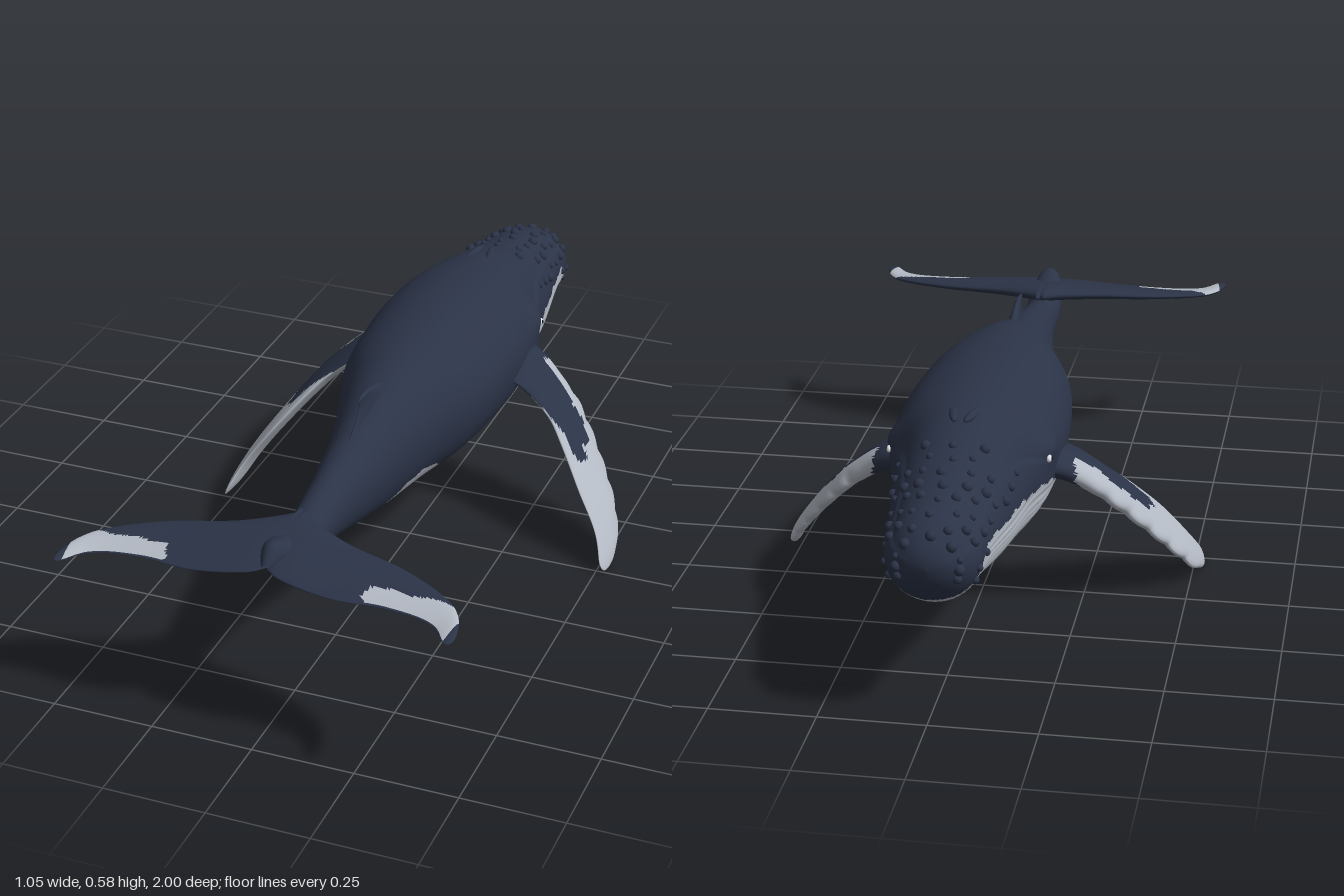
import * as THREE from 'three';

const mat = (name, color) => Object.assign(new THREE.MeshStandardMaterial({ color }), { name });
const { sin, cos, PI, abs, sqrt, exp, min, max } = Math;
const V = (x, y, z) => new THREE.Vector3(x, y, z);
const smooth = THREE.MathUtils.smoothstep;

// Smooth interpolation of rows whose first number is the key
function spline(rows) {
  const n = rows.length;
  const slope = (i, c) => {
    const a = rows[max(i - 1, 0)], b = rows[min(i + 1, n - 1)];
    return (b[c] - a[c]) / (b[0] - a[0]);
  };
  return (k) => {
    let i = 0;
    while (i < n - 2 && k > rows[i + 1][0]) i++;
    const p = rows[i], q = rows[i + 1], h = q[0] - p[0];
    const t = min(max((k - p[0]) / h, 0), 1), t2 = t * t, t3 = t2 * t;
    return p.slice(1).map((v, j) => {
      const c = j + 1;
      return (2 * t3 - 3 * t2 + 1) * v + (t3 - 2 * t2 + t) * h * slope(i, c)
        + (3 * t2 - 2 * t3) * q[c] + (t3 - t2) * h * slope(i + 1, c);
    });
  };
}

// Closed skin over a grid of loops; paint() picks material 0 or 1 for each face
function skin(rows, cols, point, paint) {
  const pts = [], faces = [[], []];
  for (let r = 0; r <= rows; r++)
    for (let c = 0; c < cols; c++) pts.push(point(r / rows, (c / cols) * 2 * PI));
  let volume = 0;
  const tri = (a, b, c, u, ang) => {
    const [A, B, C] = [pts[a], pts[b], pts[c]];
    volume += A.dot(V().crossVectors(B, C));
    const mid = V().add(A).add(B).add(C).divideScalar(3);
    faces[paint(mid, u, ang) ? 1 : 0].push([a, b, c]);
  };
  for (let r = 0; r < rows; r++)
    for (let c = 0; c < cols; c++) {
      const d = (c + 1) % cols, a = r * cols, b = a + cols;
      const u = (r + 0.5) / rows, ang = ((c + 0.5) / cols) * 2 * PI;
      tri(a + c, b + c, b + d, u, ang);
      tri(a + c, b + d, a + d, u, ang);
    }
  const g = new THREE.BufferGeometry().setFromPoints(pts);
  const idx = faces.map((f) => f.flatMap((t) => (volume < 0 ? [t[0], t[2], t[1]] : t)));
  g.setIndex([...idx[0], ...idx[1]]);
  g.addGroup(0, idx[0].length, 0);
  g.addGroup(idx[0].length, idx[1].length, 1);
  g.computeVertexNormals();
  return g;
}

// Fin surface from stations: key, leading edge xyz, trailing edge xyz, half thickness
function fin(stations, side, bumps, paint) {
  const at = spline(stations), key = (u) => 1 - (1 - u) ** 1.6;
  const edges = (t) => {
    const s = at(t);
    return { lead: V(s[0] * side, s[1], s[2]), trail: V(s[3] * side, s[4], s[5]), th: s[6] };
  };
  const centre = (t) => { const e = edges(t); return e.lead.add(e.trail).multiplyScalar(0.5); };
  return skin(80, 48, (u, a) => {
    const t = key(u), e = edges(t), mid = centre(t);
    const chord = e.trail.clone().sub(e.lead);
    const along = centre(min(t + 0.02, 1)).sub(centre(max(t - 0.02, 0)));
    const n = chord.clone().cross(along).normalize();
    if (n.y < -0.1) n.negate();
    const round = sqrt(max(0, 1 - max(0, (t - 0.92) / 0.08) ** 2));
    const knob = bumps * abs(sin(t * 26)) * smooth(t, 0.25, 0.4) * max(0, cos(a)) ** 2;
    return mid.addScaledVector(chord, -0.5 * cos(a) * round)
      .addScaledVector(chord.normalize(), -knob * round)
      .addScaledVector(n, e.th * round * sin(a) * (0.75 + 0.35 * cos(a)));
  }, (p, u, a) => paint(p, key(u), a, (1 - cos(a)) / 2));
}

const ripple = (p) => sin(p.x * 61 + p.z * 43) * 0.5 + sin(p.z * 97 - p.y * 71) * 0.5;

// Body: z, top, bottom, half width
const bodyAt = spline([
  [-1, 0.46, 0.285, 0.105], [-0.95, 0.467, 0.275, 0.108], [-0.85, 0.493, 0.263, 0.115],
  [-0.66, 0.533, 0.225, 0.145], [-0.53, 0.568, 0.206, 0.165], [-0.42, 0.582, 0.206, 0.195],
  [-0.29, 0.59, 0.21, 0.204], [-0.17, 0.59, 0.214, 0.2], [0, 0.581, 0.224, 0.18],
  [0.14, 0.562, 0.236, 0.135], [0.3, 0.52, 0.252, 0.092], [0.42, 0.49, 0.28, 0.072],
  [0.57, 0.462, 0.316, 0.052], [0.72, 0.438, 0.343, 0.046], [0.8, 0.46, 0.378, 0.042],
  [0.86, 0.474, 0.404, 0.026], [0.9, 0.44, 0.425, 0.008],
]);
// Heights of the pale belly edge and of the mouth line along z
const bellyAt = spline([
  [-1, 0.24], [-0.95, 0.3], [-0.88, 0.38], [-0.8, 0.393], [-0.5, 0.383], [-0.4, 0.365],
  [-0.3, 0.335], [-0.2, 0.295], [-0.06, 0.245], [0.05, 0.265], [0.14, 0.312], [0.25, 0.308],
  [0.33, 0.275], [0.45, 0.3], [0.56, 0.328], [0.62, 0.328], [0.68, 0.3],
]);
const mouthAt = spline([[-1, 0.4], [-0.9, 0.43], [-0.75, 0.465], [-0.6, 0.475], [-0.5, 0.45], [-0.4, 0.41]]);

function bodyPoint(z, a) {
  const [top, bottom, w] = bodyAt(z);
  const d = min(1, (z + 1) / 0.1), nose = sqrt(max(0, 1 - (1 - d) ** 2));
  const c = bottom + (top - bottom) * 0.53;
  const cy = c + (0.385 - c) * (1 - nose);
  const hy = sin(a) > 0 ? top - c : c - bottom;
  const p = V(cos(a) * w * nose, cy + sin(a) * hy * nose, z);
  // throat pleats, mouth step and brow
  const throat = smooth(z, -0.97, -0.85) * (1 - smooth(z, -0.1, 0.1))
    * (1 - smooth(p.y, bellyAt(z)[0] - 0.03, bellyAt(z)[0] + 0.005));
  const pleat = 1 - 0.028 * throat * (0.5 + 0.5 * cos(48 * a));
  const mouth = 1 - 0.06 * smooth(p.y, mouthAt(z)[0] - 0.006, mouthAt(z)[0] + 0.006)
    * (1 - smooth(z, -0.55, -0.42)) * abs(cos(a));
  const brow = 1 + 0.07 * exp(-(((z + 0.43) / 0.05) ** 2) - ((p.y - 0.46) / 0.03) ** 2);
  p.x *= pleat * mouth * brow;
  p.y = cy + (p.y - cy) * pleat;
  return p;
}

export function createModel() {
  const dark = mat('dark slate skin', 0x2b3347);
  const pale = mat('pale grey skin', 0xb4bac4);
  const eyeWhite = mat('eye white', 0xe4e6e8);
  const black = mat('pupil black', 0x0c0e12);
  const model = new THREE.Group();
  const add = (name, geometry, material, parent = model) => {
    const m = new THREE.Mesh(geometry, material);
    m.name = name;
    parent.add(m);
    return m;
  };

  add('body', skin(170, 192, (u, a) => bodyPoint(-1 + 1.9 * u ** 1.3, a),
    (p) => p.z < 0.67 && p.y < bellyAt(p.z)[0] + 0.007 * ripple(p)), [dark, pale]);

  // Dorsal fin, swept back
  add('dorsalFin', fin([
    [0, 0, 0.48, 0.08, 0, 0.48, 0.43, 0.028], [0.35, 0, 0.525, 0.14, 0, 0.515, 0.365, 0.02],
    [0.7, 0, 0.555, 0.21, 0, 0.55, 0.335, 0.012], [1, 0, 0.577, 0.29, 0, 0.573, 0.345, 0.007],
  ], 1, 0, () => false), [dark, pale]);

  const flipper = [
    [0, 0.12, 0.4, -0.42, 0.12, 0.4, -0.2, 0.045], [0.18, 0.215, 0.375, -0.39, 0.215, 0.375, -0.21, 0.036],
    [0.34, 0.3, 0.315, -0.345, 0.3, 0.315, -0.19, 0.029], [0.46, 0.35, 0.265, -0.315, 0.35, 0.265, -0.15, 0.026],
    [0.64, 0.42, 0.18, -0.255, 0.42, 0.18, -0.085, 0.022], [0.84, 0.485, 0.088, -0.18, 0.485, 0.088, -0.035, 0.018],
    [1, 0.525, 0.01, -0.09, 0.522, 0.008, 0.035, 0.014],
  ];
  const fluke = [
    [0, -0.01, 0.45, 0.66, -0.01, 0.43, 0.88, 0.024], [0.12, 0.045, 0.445, 0.7, 0.04, 0.424, 0.915, 0.024],
    [0.32, 0.14, 0.437, 0.745, 0.165, 0.412, 0.931, 0.02], [0.6, 0.3, 0.427, 0.79, 0.3, 0.41, 0.922, 0.013],
    [0.84, 0.43, 0.416, 0.862, 0.415, 0.408, 0.945, 0.009], [1, 0.483, 0.41, 0.945, 0.473, 0.408, 1.025, 0.007],
  ];
  const flipperPaint = (p, t, a, f) => {
    const x = abs(p.x) + 0.012 * ripple(p);
    if (a > PI) return x > 0.25;
    const patch = x < 0.4 && f > 0.3 + 0.06 * ripple(p) && f < 0.86 + (0.36 - x) * 2;
    return x > 0.245 && !patch;
  };
  const flukePaint = (p, t, a, f) => {
    const x = abs(p.x) + 0.012 * ripple(p);
    if (a > PI) return x > 0.045 && x < 0.455 && f > 0.3 + 0.05 * ripple(p) && f < 0.97;
    return x > 0.24 && t < 0.95 && f < 0.95 && p.z > 0.872 + 0.008 * ripple(p);
  };
  const onBody = (mesh, z, a) => { mesh.position.copy(bodyPoint(z, a)); return mesh; };
  const ball = new THREE.SphereGeometry(1, 16, 10);

  for (const s of [1, -1]) {
    const side = s > 0 ? 'left' : 'right';
    add(side + 'Flipper', fin(flipper, s, 0.014, flipperPaint), [dark, pale]);
    add(side + 'Fluke', fin(fluke, s, 0, flukePaint), [dark, pale]);
    // Eye, set on the brow
    const eye = new THREE.Group();
    eye.name = side + 'Eye';
    const a = s > 0 ? 0.2 : PI - 0.2;
    eye.position.copy(bodyPoint(-0.45, a));
    model.add(eye);
    add('eyeball', ball, eyeWhite, eye).scale.set(0.007, 0.009, 0.011);
    const pupil = add('pupil', ball, black, eye);
    pupil.scale.set(0.003, 0.005, 0.005);
    pupil.position.x = s * 0.006;
    // Blowhole ridges
    const ridge = onBody(add(side + 'BlowholeRidge', ball, dark), -0.53, PI / 2 - s * 0.13);
    ridge.scale.set(0.011, 0.009, 0.045);
    ridge.rotation.y = s * 0.2;
  }

  // Tubercles in rows: angle above the side, first z, last z, size
  const bumps = new THREE.Group();
  bumps.name = 'headTubercles';
  model.add(bumps);
  const rows = [
    [90, -0.96, -0.64, 0.012], [66, -0.94, -0.62, 0.012], [45, -0.965, -0.66, 0.012],
    [24, -0.97, -0.6, 0.011], [-4, -0.975, -0.84, 0.012], [-24, -0.975, -0.92, 0.01],
  ];
  for (const [deg, z0, z1, size] of rows)
    for (const s of deg === 90 ? [1] : [1, -1])
      for (let z = z0, i = 0; z <= z1; z += 0.052, i++) {
        const a = ((deg + 4 * sin(i * 2.3 + deg)) * PI) / 180;
        const b = add('tubercle', ball, dark, bumps);
        onBody(b, z, s > 0 ? a : PI - a);
        b.scale.setScalar(size * (0.9 + 0.2 * sin(i * 1.7 + deg)));
      }
  return model;
}
